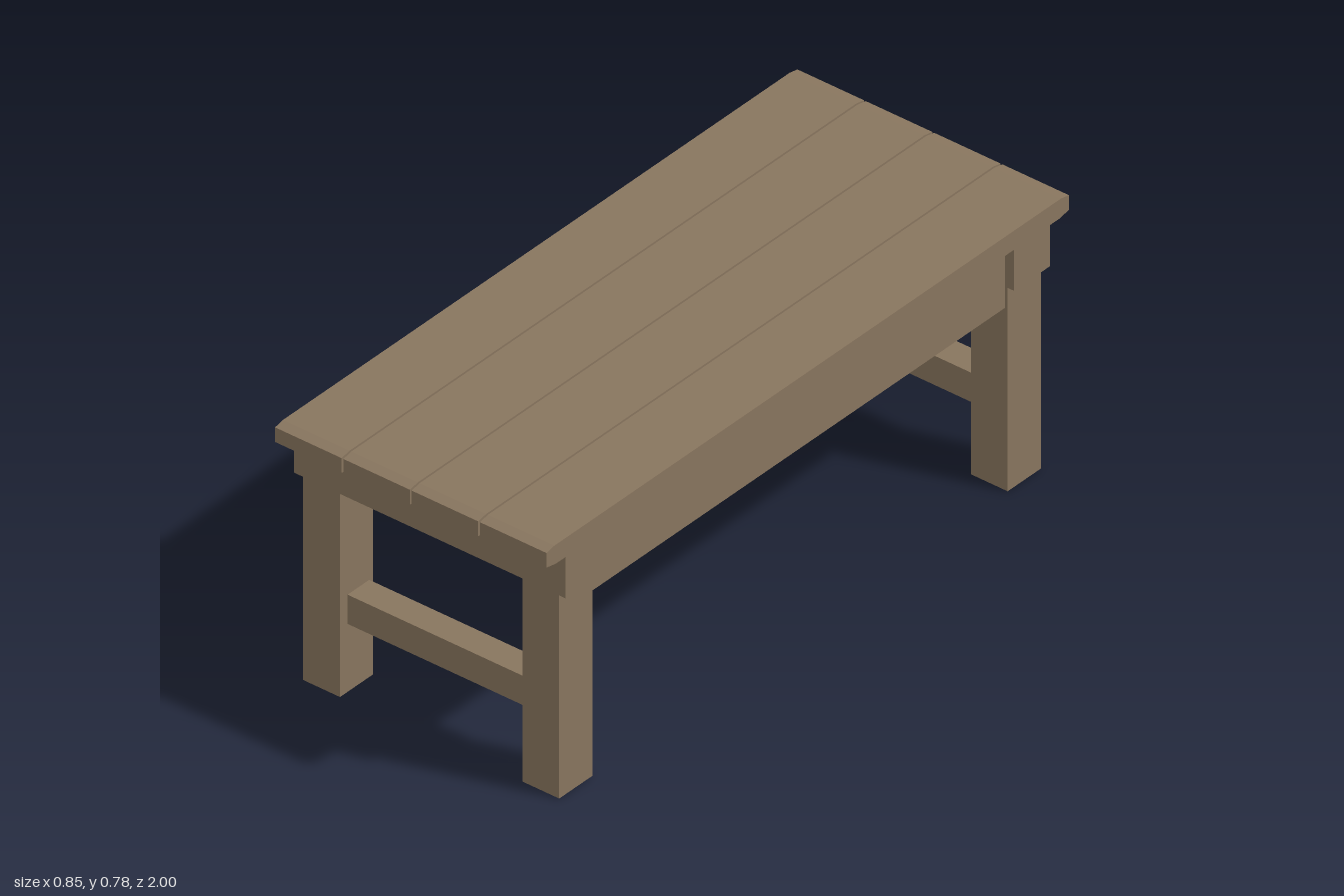
import * as THREE from 'three';

export function createModel() {
  const group = new THREE.Group();
  const wood = new THREE.MeshStandardMaterial({ color: 0x88755e });
  wood.name = 'brown wood';

  const add = (name, geometry) => {
    const mesh = new THREE.Mesh(geometry, wood);
    mesh.name = name;
    group.add(mesh);
    return mesh;
  };

  // Box given by its lower and upper limits on each axis
  const box = (name, [x0, x1], [y0, y1], [z0, z1]) =>
    add(name, new THREE.BoxGeometry(x1 - x0, y1 - y0, z1 - z0))
      .position.set((x0 + x1) / 2, (y0 + y1) / 2, (z0 + z1) / 2);

  // Limits mirrored to the side s = 1 or -1
  const side = (s, a, b) => (s > 0 ? [a, b] : [-b, -a]);

  // Four top planks with chamfered ends, drawn as a (z, y) profile
  const profile = new THREE.Shape([
    [-0.965, 0.724], [0.965, 0.724], [1, 0.731], [1, 0.774],
    [0.97, 0.78], [-0.97, 0.78], [-1, 0.774], [-1, 0.731],
  ].map(([z, y]) => new THREE.Vector2(z, y)));
  const plankWidth = 0.2095, pitch = 0.215;
  const plank = new THREE.ExtrudeGeometry(profile, { depth: plankWidth, bevelEnabled: false });
  plank.translate(0, 0, -plankWidth / 2).rotateY(-Math.PI / 2);
  for (let i = 0; i < 4; i++) add('topPlank', plank).position.x = (i - 1.5) * pitch;

  for (const s of [1, -1]) {
    // Cross beam under each end of the top
    box('crossBeam', [-0.427, 0.427], [0.603, 0.724], side(s, 0.79, 0.928));
    // Low stretcher between the legs of each end
    box('stretcher', [-0.287, 0.287], [0.2, 0.286], side(s, 0.81, 0.893));
    // Long rail on each side, a little below the planks
    box('sideRail', side(s, 0.292, 0.398), [0.54, 0.705], [-0.79, 0.79]);
    // Legs
    for (const t of [1, -1])
      box('leg', side(t, 0.287, 0.403), [0, 0.603], side(s, 0.795, 0.922));
  }
  return group;
}
